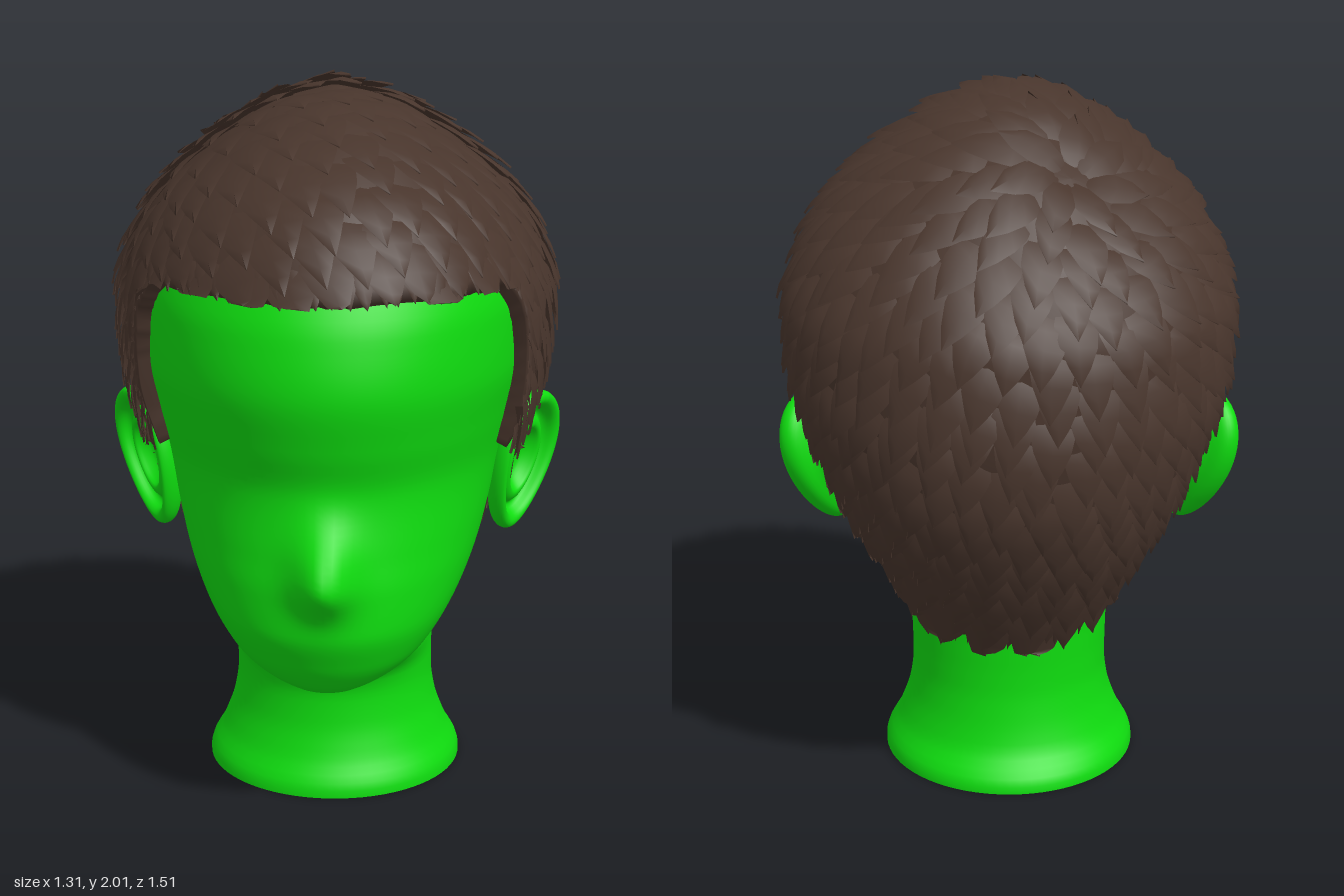
import * as THREE from 'three';

const skin = new THREE.MeshStandardMaterial({ color: 0x0fdc0f });
skin.name = 'green skin';
const brown = new THREE.MeshStandardMaterial({ color: 0x48352c, side: THREE.DoubleSide });
brown.name = 'dark brown hair';

// Cross-sections: [y, half width, front z, back z, z of widest point]
const HEAD = [
  [0.385, 0.04, 0.5, 0.42, 0.46], [0.4, 0.1, 0.55, 0.36, 0.45], [0.45, 0.205, 0.6, 0.2, 0.4],
  [0.5, 0.27, 0.63, 0.05, 0.34], [0.6, 0.35, 0.665, -0.2, 0.22], [0.7, 0.405, 0.66, -0.4, 0.1],
  [0.8, 0.44, 0.64, -0.53, 0.02], [0.97, 0.482, 0.615, -0.63, -0.07], [1.1, 0.52, 0.65, -0.67, -0.11],
  [1.25, 0.555, 0.68, -0.69, -0.13], [1.4, 0.56, 0.655, -0.67, -0.12], [1.5, 0.54, 0.61, -0.64, -0.1],
  [1.6, 0.5, 0.55, -0.58, -0.08], [1.75, 0.36, 0.4, -0.43, -0.04], [1.85, 0.1, 0.1, -0.15, -0.03],
];
const NECK = [
  [0, 0.37, 0.37, -0.38, 0], [0.015, 0.37, 0.37, -0.38, 0], [0.1, 0.33, 0.33, -0.32, 0],
  [0.2, 0.296, 0.303, -0.293, 0], [0.28, 0.286, 0.298, -0.283, 0], [0.34, 0.286, 0.315, -0.282, 0],
  [0.38, 0.287, 0.37, -0.283, 0], [0.42, 0.288, 0.43, -0.284, 0], [0.55, 0.295, 0.43, -0.29, 0],
  [0.75, 0.29, 0.4, -0.29, 0],
];
const HAIR = [
  [0.38, 0.26, 0.2, -0.25, -0.02], [0.5, 0.3, 0.3, -0.335, -0.04], [0.6, 0.345, 0.4, -0.415, -0.05],
  [0.7, 0.4, 0.48, -0.495, -0.06], [0.8, 0.45, 0.55, -0.57, -0.08], [1, 0.53, 0.62, -0.68, -0.1],
  [1.2, 0.59, 0.67, -0.72, -0.12], [1.4, 0.605, 0.67, -0.715, -0.12], [1.5, 0.585, 0.645, -0.68, -0.11],
  [1.6, 0.545, 0.605, -0.63, -0.1], [1.7, 0.475, 0.54, -0.56, -0.08], [1.8, 0.37, 0.43, -0.47, -0.06],
  [1.86, 0.29, 0.34, -0.385, -0.04], [1.93, 0.17, 0.2, -0.26, -0.03], [1.975, 0.01, 0.0, -0.05, -0.03],
];
// Lowest hair height for each z, from nape to forehead
const HAIRLINE = [
  [-0.8, 0.46], [-0.3, 0.46], [-0.1, 0.61], [-0.045, 0.7], [0, 0.98], [0.1, 1.0],
  [0.17, 0.99], [0.2, 1.12], [0.25, 1.33], [0.3, 1.44], [0.36, 1.5], [0.7, 1.5],
];

// Smooth interpolation of a table column without overshoot
function sample(table, t, col) {
  const last = table.length - 1;
  if (t <= table[0][0]) return table[0][col];
  if (t >= table[last][0]) return table[last][col];
  let i = 0;
  while (t > table[i + 1][0]) i++;
  const slope = k => (table[k + 1][col] - table[k][col]) / (table[k + 1][0] - table[k][0]);
  const tangent = k => {
    if (k === 0) return slope(0);
    if (k === last) return slope(last - 1);
    const a = slope(k - 1), b = slope(k);
    return a * b <= 0 ? 0 : (2 * a * b) / (a + b);
  };
  const h = table[i + 1][0] - table[i][0], s = (t - table[i][0]) / h, s2 = s * s, s3 = s2 * s;
  return (2 * s3 - 3 * s2 + 1) * table[i][col] + (s3 - 2 * s2 + s) * h * tangent(i)
    + (3 * s2 - 2 * s3) * table[i + 1][col] + (s3 - s2) * h * tangent(i + 1);
}

// Grid of points; adds into shared arrays so many patches make one mesh
function addGrid(out, rows, cols, closed, point) {
  const start = out.pos.length / 3;
  for (let i = 0; i < rows; i++)
    for (let j = 0; j < cols; j++) out.pos.push(...point(i, j));
  for (let i = 0; i < rows - 1; i++)
    for (let j = 0; j < (closed ? cols : cols - 1); j++) {
      const k = (j + 1) % cols, a = start + i * cols, c = a + cols;
      out.idx.push(a + j, a + k, c + j, a + k, c + k, c + j);
    }
}

function toMesh(out, material, name) {
  const g = new THREE.BufferGeometry();
  g.setAttribute('position', new THREE.Float32BufferAttribute(out.pos, 3));
  g.setIndex(out.idx);
  g.computeVertexNormals();
  const mesh = new THREE.Mesh(g, material);
  mesh.name = name;
  return mesh;
}

function ringPoint(table, y, angle) {
  const [w, f, b, zc] = [1, 2, 3, 4].map(c => sample(table, y, c));
  const cz = Math.cos(angle);
  return [w * Math.sin(angle), y, zc + cz * (cz > 0 ? f - zc : zc - b)];
}

function makeHead() {
  const out = { pos: [], idx: [] }, rows = 80, cols = 112;
  addGrid(out, rows, cols, true, (i, j) => {
    if (i === 0) return [0, 0.383, 0.46];
    const p = ringPoint(HEAD, 0.385 + 1.465 * ((i - 1) / (rows - 2)) ** 1.4, (j / cols) * Math.PI * 2);
    // Nose
    const dy = p[1] - 0.76;
    if (p[2] > 0.3) p[2] += 0.105 * Math.exp(-((p[0] / 0.08) ** 2) - (dy / (dy > 0 ? 0.12 : 0.085)) ** 2);
    return p;
  });
  return toMesh(out, skin, 'head');
}

function makeNeck() {
  const out = { pos: [], idx: [] }, rows = 40, cols = 72;
  addGrid(out, rows, cols, true, (i, j) => {
    if (i === 0) return [0, 0, 0];
    return ringPoint(NECK, 0.75 * Math.max(0, i - 2) / (rows - 3), (j / cols) * Math.PI * 2);
  });
  return toMesh(out, skin, 'neck');
}

function makeEar(side) {
  // Dished disc with a rolled rim, narrowed towards the lobe
  const profile = [[0, -0.12], [0.4, -0.11], [0.55, -0.06], [0.85, -0.035], [0.97, -0.015], [1, 0.008], [0.96, 0.026],
    [0.88, 0.03], [0.8, 0.02], [0.74, 0], [0.66, -0.008], [0.58, 0.006], [0.48, 0.01], [0.4, -0.008], [0.25, -0.03], [0, -0.035]];
  const curve = new THREE.SplineCurve(profile.map(p => new THREE.Vector2(...p)));
  const pts = curve.getPoints(45).map(p => new THREE.Vector2(Math.max(0, p.x), p.y));
  const g = new THREE.LatheGeometry(pts, 48);
  const p = g.attributes.position;
  for (let i = 0; i < p.count; i++) {
    const v = p.getZ(i);
    p.setXYZ(i, p.getX(i) * 0.132 * (1 + 0.25 * v), p.getY(i), v * 0.208);
  }
  const V = new THREE.Vector3(0.27, 0.95, -0.17).normalize();
  const N = new THREE.Vector3(0.84, 0, 0.54);
  N.addScaledVector(V, -N.dot(V)).normalize();
  const U = new THREE.Vector3().crossVectors(N, V);
  g.applyMatrix4(new THREE.Matrix4().makeBasis(U, N, V).setPosition(0.54, 0.907, -0.005));
  if (side < 0) {
    g.scale(-1, 1, 1);
    g.index.array.reverse();
  }
  g.computeVertexNormals();
  const ear = new THREE.Mesh(g, skin);
  ear.name = side > 0 ? 'leftEar' : 'rightEar';
  return ear;
}

// Hair is laid out in polar angles (alpha, phi) around the crown whorl
const CENTRE = new THREE.Vector3(0, 1.2, -0.05);
const AXIS = new THREE.Vector3(-0.17, 0.66, -0.4).normalize();
const E1 = new THREE.Vector3(0, 0, 1).addScaledVector(AXIS, -AXIS.z).normalize();
const E2 = new THREE.Vector3().crossVectors(AXIS, E1);

function hairPoint(alpha, phi, lift) {
  const s = Math.sin(alpha);
  const d = AXIS.clone().multiplyScalar(Math.cos(alpha))
    .addScaledVector(E1, s * Math.cos(phi)).addScaledVector(E2, s * Math.sin(phi));
  let lo = 0.2, hi = 1.2;
  for (let n = 0; n < 16; n++) {
    const r = (lo + hi) / 2, x = d.x * r, y = CENTRE.y + d.y * r;
    const zc = sample(HAIR, y, 4), z = CENTRE.z + d.z * r - zc;
    const depth = z > 0 ? sample(HAIR, y, 2) - zc : zc - sample(HAIR, y, 3);
    if (y < 1.975 && (x / sample(HAIR, y, 1)) ** 2 + (z / depth) ** 2 < 1) lo = r; else hi = r;
  }
  return d.multiplyScalar(lo + lift).add(CENTRE).toArray();
}

function makeHair() {
  let seed = 7;
  const rand = () => (seed = (seed * 16807) % 2147483647) / 2147483647;
  const TAU = Math.PI * 2, cols = 240;
  // Angle at which the hair ends in each direction
  const ends = Array.from({ length: cols }, (_, j) => {
    let a = 0.4;
    for (; a < 2.6; a += 0.015) {
      const p = hairPoint(a, (j / cols) * TAU, 0);
      if (p[1] < sample(HAIRLINE, p[2], 1)) break;
    }
    return a;
  });
  const endAt = phi => {
    const t = ((((phi / TAU) % 1) + 1) % 1) * cols, j = Math.floor(t) % cols, k = (j + 1) % cols;
    return ends[j] + (ends[k] - ends[j]) * (t - Math.floor(t));
  };

  // Cap under the locks, its rim turned in to the scalp
  const cap = { pos: [], idx: [] }, rows = 42;
  addGrid(cap, rows, cols, true, (i, j) => {
    const t = i === 0 ? 1 : 1 - (i - 1) / (rows - 2);
    return hairPoint(ends[j] * t, (j / cols) * TAU, i === 0 ? -0.07 : 0);
  });

  // Pointed, overlapping locks
  const locks = { pos: [], idx: [] };
  const widths = [0, 0.42, 0.78, 1, 0.85], lifts = [1, 0.85, 0.6, 0.3, -0.3];
  const addLock = (phi, root, length, half, lift, twist) =>
    addGrid(locks, 5, 3, false, (i, j) => {
      const s = 1 - i / 4;
      const f = phi + (j - 1) * half * widths[i] + twist * s;
      const a = Math.min(root + length * s, endAt(f) + 0.025);
      return hairPoint(a, f, lift * lifts[i] + (j === 1 ? 0.006 : 0));
    });
  for (let a = 0.03, row = 0; a < 2.4; a += 0.125, row++) {
    const n = Math.max(7, Math.round((TAU * Math.sin(a + 0.12)) / 0.145));
    for (let k = 0; k < n; k++) {
      const phi = ((k + (row % 2) / 2 + (rand() - 0.5) * 0.35) / n) * TAU;
      const root = a + (rand() - 0.5) * 0.05;
      if (root > endAt(phi) - 0.08) continue;
      addLock(phi, root, 0.24 + rand() * 0.05, (TAU / n) * 0.62, 0.03 + rand() * 0.008, 0.03 / Math.sin(a + 0.1));
    }
  }
  // Short locks along the hairline
  for (let k = 0; k < 110; k++) {
    const phi = ((k + rand() * 0.4) / 110) * TAU;
    addLock(phi, endAt(phi) - 0.12, 0.13 + rand() * 0.03, 0.038, 0.014, 0);
  }

  const hair = new THREE.Group();
  hair.name = 'hair';
  hair.add(toMesh(cap, brown, 'hairCap'), toMesh(locks, brown, 'hairLocks'));
  return hair;
}

export function createModel() {
  const model = new THREE.Group();
  model.name = 'headBust';
  model.add(makeHead(), makeNeck(), makeEar(1), makeEar(-1), makeHair());
  return model;
}
